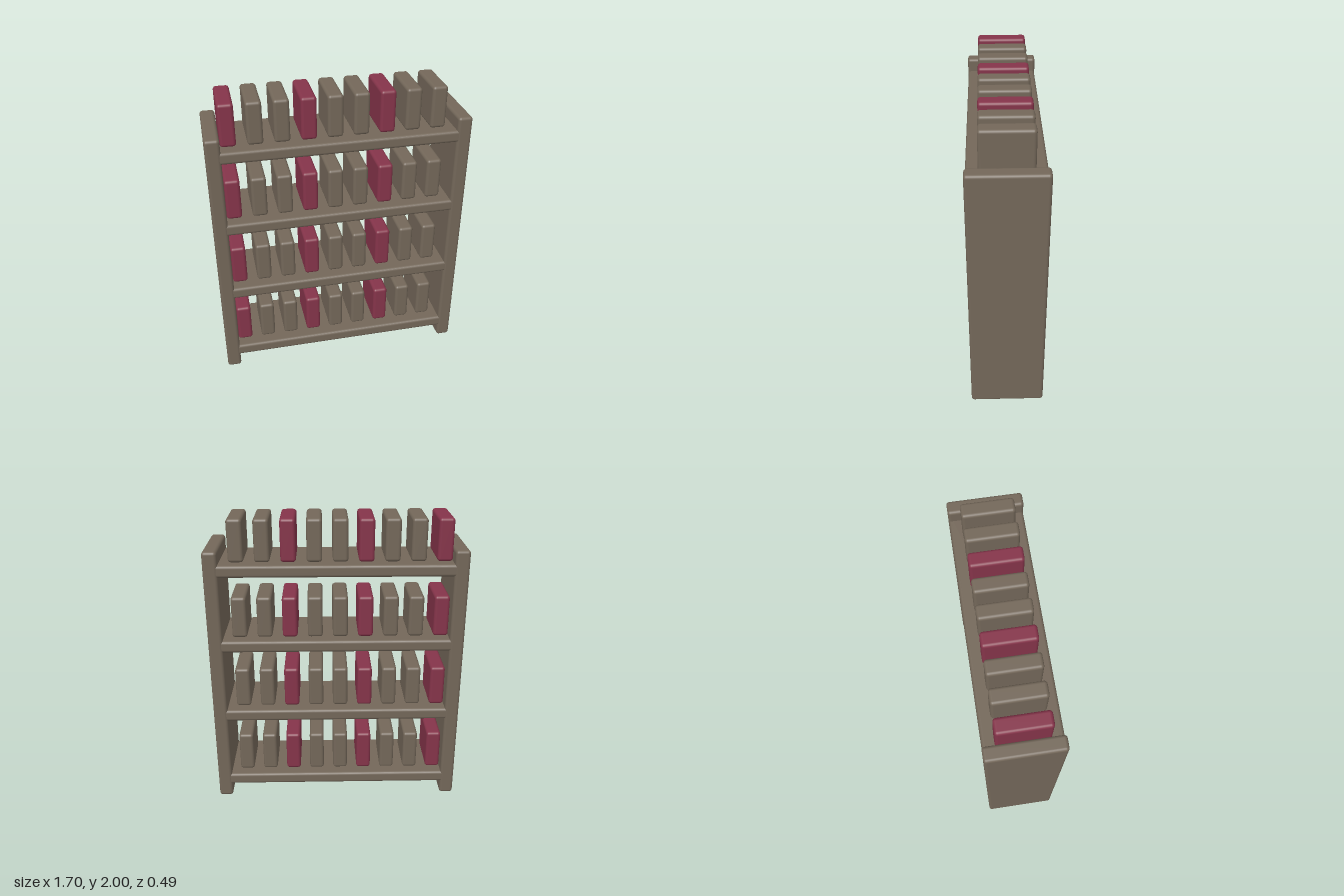
import * as THREE from 'three';
import { RoundedBoxGeometry } from 'three/addons/geometries/RoundedBoxGeometry.js';

export function createModel() {
  const model = new THREE.Group();
  model.name = 'bookshelf';
  const wood = new THREE.MeshStandardMaterial({ color: 0x736759 });
  const red = new THREE.MeshStandardMaterial({ color: 0x85344a });

  const sideGeo = new RoundedBoxGeometry(0.095, 1.81, 0.486, 3, 0.02);
  const shelfGeo = new RoundedBoxGeometry(1.58, 0.08, 0.48, 3, 0.02);
  const bookGeo = new RoundedBoxGeometry(0.1, 0.28, 0.33, 3, 0.02);

  const add = (parent, name, geometry, material, x, y) => {
    const mesh = new THREE.Mesh(geometry, material);
    mesh.name = name;
    mesh.position.set(x, y, 0);
    parent.add(mesh);
  };

  // Upright side panels
  add(model, 'leftPanel', sideGeo, wood, 0.8, 0.905);
  add(model, 'rightPanel', sideGeo, wood, -0.8, 0.905);

  // Four shelves, each with a row of nine books; every third book is red
  for (let row = 0; row < 4; row++) {
    const y = 0.135 + row * 0.515;
    add(model, `shelf${row + 1}`, shelfGeo, wood, 0, y);

    const books = new THREE.Group();
    books.name = `bookRow${row + 1}`;
    for (let i = 0; i < 9; i++) {
      add(books, `book${i + 1}`, bookGeo, i % 3 === 0 ? red : wood, -0.7 + i * 0.168, y + 0.18);
    }
    model.add(books);
  }
  return model;
}
